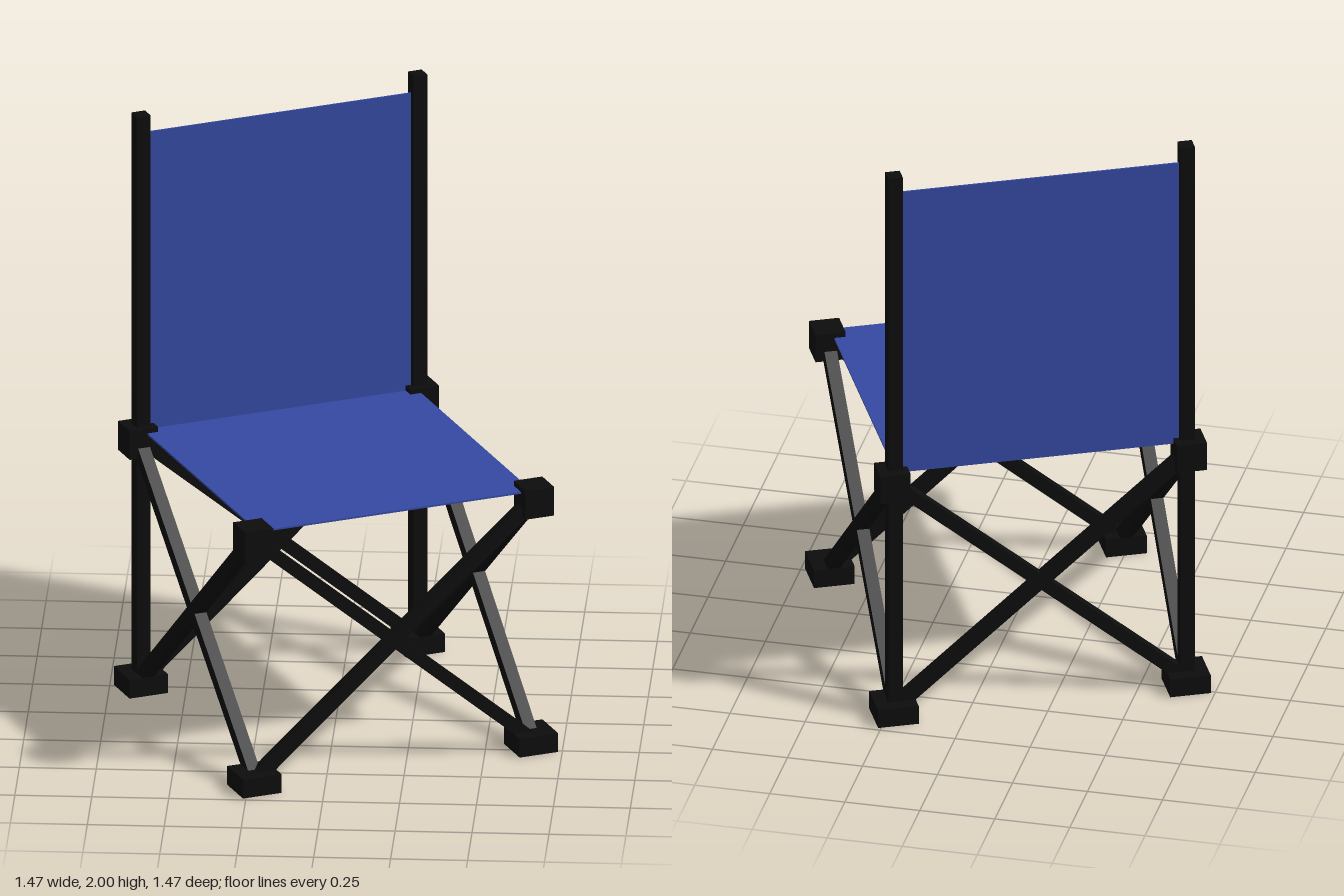
import * as THREE from 'three';

const FRAME = new THREE.MeshStandardMaterial({ color: 0x0d0d0d });
const FABRIC = new THREE.MeshStandardMaterial({ color: 0x3549a2, side: THREE.DoubleSide });

function box(parent, name, size, pos, material = FRAME) {
  const mesh = new THREE.Mesh(new THREE.BoxGeometry(...size), material);
  mesh.name = name;
  mesh.position.set(...pos);
  parent.add(mesh);
  return mesh;
}

// Square bar running between two points
function bar(parent, name, a, b, thickness) {
  const mid = a.clone().add(b).multiplyScalar(0.5);
  const mesh = box(parent, name, [thickness, thickness, a.distanceTo(b)], mid.toArray());
  mesh.lookAt(b);
}

export function createModel() {
  const model = new THREE.Group();
  model.name = 'foldingChair';
  const chair = new THREE.Group();
  chair.name = 'chair';

  const H = 0.485; // half distance between legs
  const B = 0.492; // half distance between upper brackets
  const corners = [[-1, -1], [1, -1], [1, 1], [-1, 1]];

  // Feet and seat brackets at each corner
  for (const [x, z] of corners) {
    box(chair, 'foot', [0.135, 0.065, 0.135], [x * H, 0.0325, z * H]);
    box(chair, 'seatBracket', [0.1, 0.1, 0.1], [x * B, 0.87, z * B]);
  }

  // Crossed braces on all four sides
  corners.forEach(([x0, z0], i) => {
    const [x1, z1] = corners[(i + 1) % 4];
    const foot = (x, z) => new THREE.Vector3(x * H, 0.035, z * H);
    const top = (x, z) => new THREE.Vector3(x * B, 0.87, z * B);
    bar(chair, 'crossBrace', foot(x0, z0), top(x1, z1), 0.042);
    bar(chair, 'crossBrace', foot(x1, z1), top(x0, z0), 0.042);
  });

  // Tall back posts
  for (const x of [-1, 1]) box(chair, 'backPost', [0.048, 2, 0.048], [x * H, 1, -H]);

  // Fabric seat and backrest
  box(chair, 'seat', [0.96, 0.006, 0.985], [0, 0.9, 0.0125], FABRIC);
  box(chair, 'backrest', [0.95, 1.035, 0.006], [0, 1.4175, -H], FABRIC);

  // The whole chair stands turned about the vertical axis
  chair.rotation.y = 0.447;
  model.add(chair);
  return model;
}
